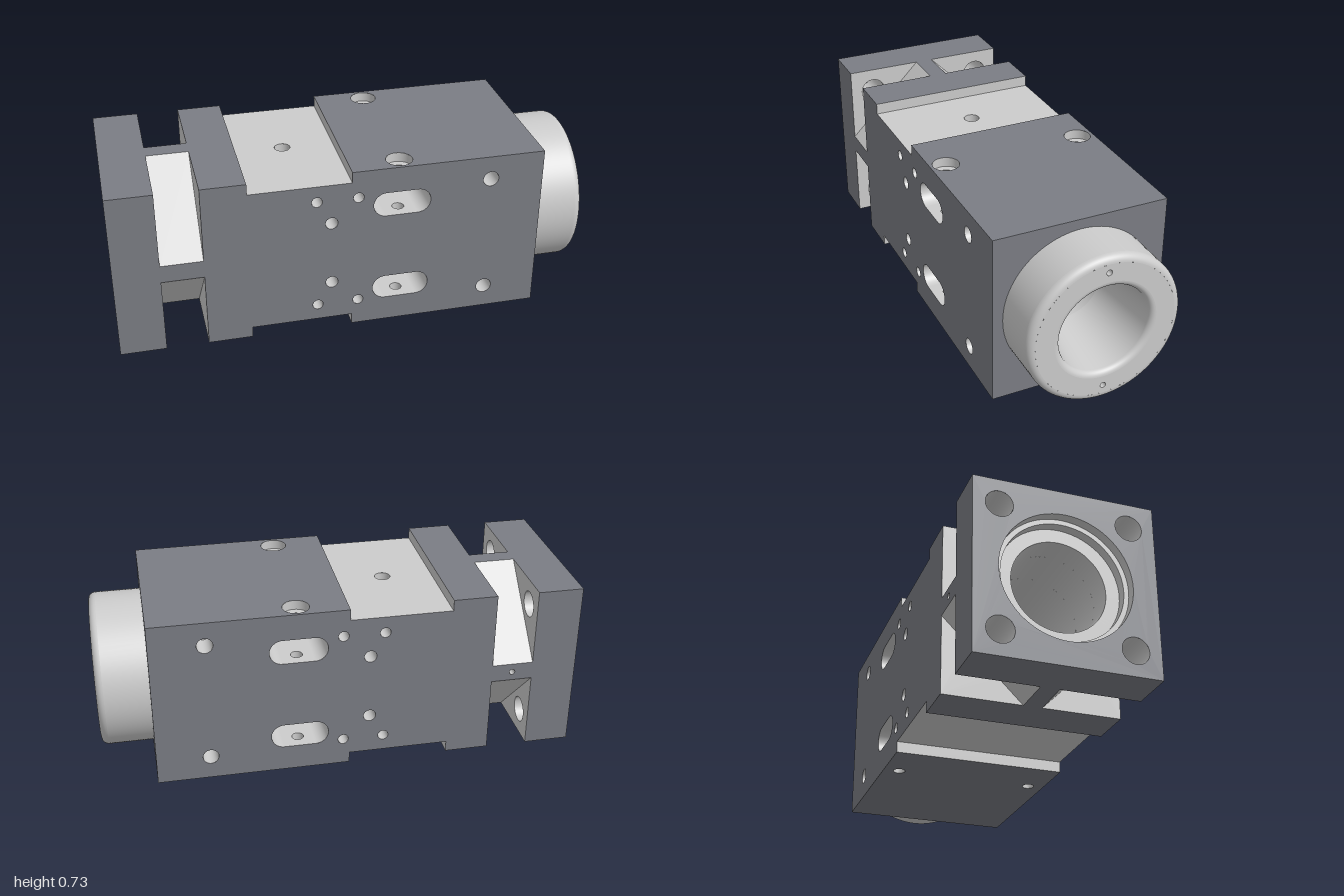
import * as THREE from 'three';

const H = 0.365;                       // half of the square section; its axis lies at y = H
const dark = new THREE.MeshStandardMaterial({ color: 0x7b7d84, side: THREE.DoubleSide });
const light = new THREE.MeshStandardMaterial({ color: 0xcccccc, side: THREE.DoubleSide });

export function createModel() {
  const root = new THREE.Group();
  const model = new THREE.Group();     // built around the axis, lifted at the end
  model.position.y = H;
  root.add(model);

  const add = (name, geo, mat) => {
    const mesh = new THREE.Mesh(geo, mat);
    mesh.name = name;
    model.add(mesh);
    return mesh;
  };

  // Local (u, v) means (x, y) for axis z, (x, z) for axis y and (z, y) for axis x.
  const turn = (geo, axis) => {
    if (axis === 'y') geo.rotateX(Math.PI / 2);
    if (axis === 'x') geo.rotateY(-Math.PI / 2);
    return geo;
  };
  const sign = (axis) => (axis === 'z' ? 1 : -1);

  // Flat face at distance d along an axis, pierced by round holes [u, v, r] and by paths
  const sheet = (name, axis, d, outline, holes = [], mat = dark) => {
    const shape = outline instanceof THREE.Shape ? outline
      : new THREE.Shape(outline.map(([u, v]) => new THREE.Vector2(u, v)));
    for (const h of holes) {
      shape.holes.push(h instanceof THREE.Path ? h : new THREE.Path().absarc(h[0], h[1], h[2], 0, Math.PI * 2, true));
    }
    const geo = new THREE.ShapeGeometry(shape, 32);
    geo.translate(0, 0, d * sign(axis));
    add(name, turn(geo, axis), mat);
  };
  const rect = (u0, u1, v0, v1) => [[u0, v0], [u1, v0], [u1, v1], [u0, v1]];

  // Round hole wall from a to b along an axis, with an optional floor at b
  const hole = (name, axis, [u, v, r], a, b, floor = false, start = 0, sweep = Math.PI * 2) => {
    const s = sign(axis);
    const wall = new THREE.CylinderGeometry(r, r, Math.abs(b - a), 32, 1, true, start, sweep);
    wall.rotateX(Math.PI / 2).translate(u, v, s * (a + b) / 2);
    add(name, turn(wall, axis), light);
    if (floor) add(name + 'Floor', turn(new THREE.CircleGeometry(r, 32).translate(u, v, s * b), axis), light);
  };

  // Surface of revolution about the x axis, one piece per edge so that steps stay sharp
  const revolve = (name, pts, smooth = false) => {
    const runs = smooth ? [pts] : pts.slice(1).map((p, i) => [pts[i], p]);
    for (const run of runs) {
      const geo = new THREE.LatheGeometry(run.map(([x, r]) => new THREE.Vector2(r, x)), 96);
      add(name, geo.rotateZ(-Math.PI / 2), light);
    }
  };
  const arc = (cx, cr, r, a0, a1) => Array.from({ length: 9 }, (_, i) => {
    const a = a0 + (a1 - a0) * i / 8;
    return [cx + r * Math.cos(a), cr + r * Math.sin(a)];
  });

  // Stations along x
  const flange0 = -1, flange1 = -0.81, body0 = -0.635, body1 = 0.785;
  const groove0 = -0.45, groove1 = -0.025, G = H - 0.047;
  const square = () => rect(-H, H, -H, H);

  // Mounting flange with four bolt holes
  const bolts = [];
  for (const u of [-1, 1]) for (const v of [-1, 1]) bolts.push([u * 0.26, v * 0.26, 0.055]);
  sheet('flangeOuterFace', 'x', flange0, square(), [...bolts, [0, 0, 0.265]]);
  sheet('flangeInnerFace', 'x', flange1, square(), [...bolts, [0, 0, 0.19]], light);
  for (const b of bolts) hole('flangeBoltHole', 'x', b, flange0, flange1);
  for (const s of [-1, 1]) {
    sheet('flangeSide', 'z', s * H, rect(flange0, flange1, -H, H));
    sheet('flangeTopBottom', 'y', s * H, rect(flange0, flange1, -H, H));
  }

  // Neck: four narrow webs joined by slanted pocket floors
  const W = 0.038, mid = (flange1 + body0) / 2;
  const pin = [mid, 0, 0.012];
  for (const s of [-1, 1]) {
    sheet('neckSideWeb', 'z', s * H, rect(flange1, body0, -W, W), s < 0 ? [pin] : []);
    sheet('neckTopWeb', 'y', s * H, rect(flange1, body0, -W, W));
  }
  hole('neckPinHole', 'z', pin, -H, -H + 0.05, true);
  for (let i = 0; i < 4; i++) {
    const geo = new THREE.PlaneGeometry(body0 - flange1, (H - W) * Math.SQRT2);
    geo.translate(mid, 0, (H + W) / Math.SQRT2).rotateX(Math.PI / 4 + i * Math.PI / 2);
    add('pocketFloor', geo, light);
  }

  // Main body ends
  sheet('shoulderFace', 'x', body0, square(), [[0, 0, 0.19]], light);
  sheet('bodyEndFace', 'x', body1, square(), [[0, 0, 0.31]]);

  // Holes and slots through the sides
  const slotX = 0.185, slotY = 0.2, slotR = 0.0535, slotL = 0.0665;
  const through = [], blind = [], slots = [];
  for (const s of [-1, 1]) {
    through.push([-0.17, s * 0.247, 0.022], [0.002, s * 0.247, 0.022]);
    blind.push([-0.11, s * 0.142, 0.026], [0.56, s * 0.263, 0.033]);
    slots.push(s * slotY);
  }
  const slotPath = (y) => new THREE.Path()
    .absarc(slotX + slotL, y, slotR, -Math.PI / 2, Math.PI / 2, false)
    .absarc(slotX - slotL, y, slotR, Math.PI / 2, Math.PI * 1.5, false);
  const profile = [[body0, -H], [groove0, -H], [groove0, -G], [groove1, -G], [groove1, -H], [body1, -H],
    [body1, H], [groove1, H], [groove1, G], [groove0, G], [groove0, H], [body0, H]];
  for (const s of [-1, 1]) {
    sheet('bodySide', 'z', s * H, profile, [...through, ...blind, ...slots.map(slotPath)]);
    for (const b of blind) hole('sideBlindHole', 'z', b, s * H, s * (H - 0.11), true);
  }
  for (const t of through) hole('sideThroughHole', 'z', t, -H, H);

  // Vertical screw holes, counterbored from above, crossing the slots
  const screws = [-0.297, 0.297].map((z) => [slotX, z, 0.025]);
  for (const y of slots) {
    for (const s of [-1, 1]) {
      sheet('slotFlat', 'y', y + s * slotR, rect(slotX - slotL, slotX + slotL, -H, H), screws, light);
      hole('slotEnd', 'z', [slotX + s * slotL, y, slotR], -H, H, false, s > 0 ? 0 : Math.PI, Math.PI);
    }
  }
  const sinkY = H - 0.04;
  for (const c of screws) {
    const [x, z, r] = c;
    hole('screwHole', 'y', c, -H, -slotY - slotR);
    hole('screwHole', 'y', c, -slotY + slotR, slotY - slotR);
    hole('screwHole', 'y', c, slotY + slotR, sinkY);
    hole('screwCounterbore', 'y', [x, z, 0.055], H, sinkY);
    sheet('screwSeat', 'y', sinkY, new THREE.Shape().absarc(x, z, 0.055, 0, Math.PI * 2, false), [c], light);
  }

  // Top and bottom faces with the cross groove
  const port = [-0.24, 0, 0.033];
  for (const s of [-1, 1]) {
    sheet('bodyLand', 'y', s * H, rect(body0, groove0, -H, H));
    sheet('bodyPlateau', 'y', s * H, rect(groove1, body1, -H, H), s > 0 ? screws.map(([x, z]) => [x, z, 0.055]) : screws);
    sheet('grooveFloor', 'y', s * G, rect(groove0, groove1, -H, H), s > 0 ? [port] : [], light);
    for (const x of [groove0, groove1]) sheet('grooveStep', 'x', x, rect(-H, H, s * G, s * H), [], light);
  }
  hole('groovePort', 'y', port, G, G - 0.06, true);

  // Rounded collar with two pin holes in its face
  const R = 0.323, f = 0.03, m = 0.19, k = 0.025;
  revolve('collarRim', [[body1, R], [1 - f, R]]);
  revolve('collarOuterFillet', arc(1 - f, R - f, f, Math.PI / 2, 0), true);
  revolve('collarInnerFillet', arc(1 - k, m + k, k, 0, -Math.PI / 2), true);
  const pins = [-0.257, 0.257].map((y) => [0, y, 0.012]);
  sheet('collarFace', 'x', 1, new THREE.Shape().absarc(0, 0, R - f, 0, Math.PI * 2, false),
    [[0, 0, m + k], ...pins], light);
  for (const p of pins) hole('collarPinHole', 'x', p, 1, 0.95, true);

  // Bore: tapered mouth, straight middle, stepped recess at the flange
  revolve('bore', [[1 - k, m], [0.68, 0.148], [-0.1, 0.148], [-0.1, 0.19], [-0.92, 0.19],
    [-0.92, 0.245], [-0.96, 0.245], [-0.96, 0.265], [flange0, 0.265]]);

  return root;
}
